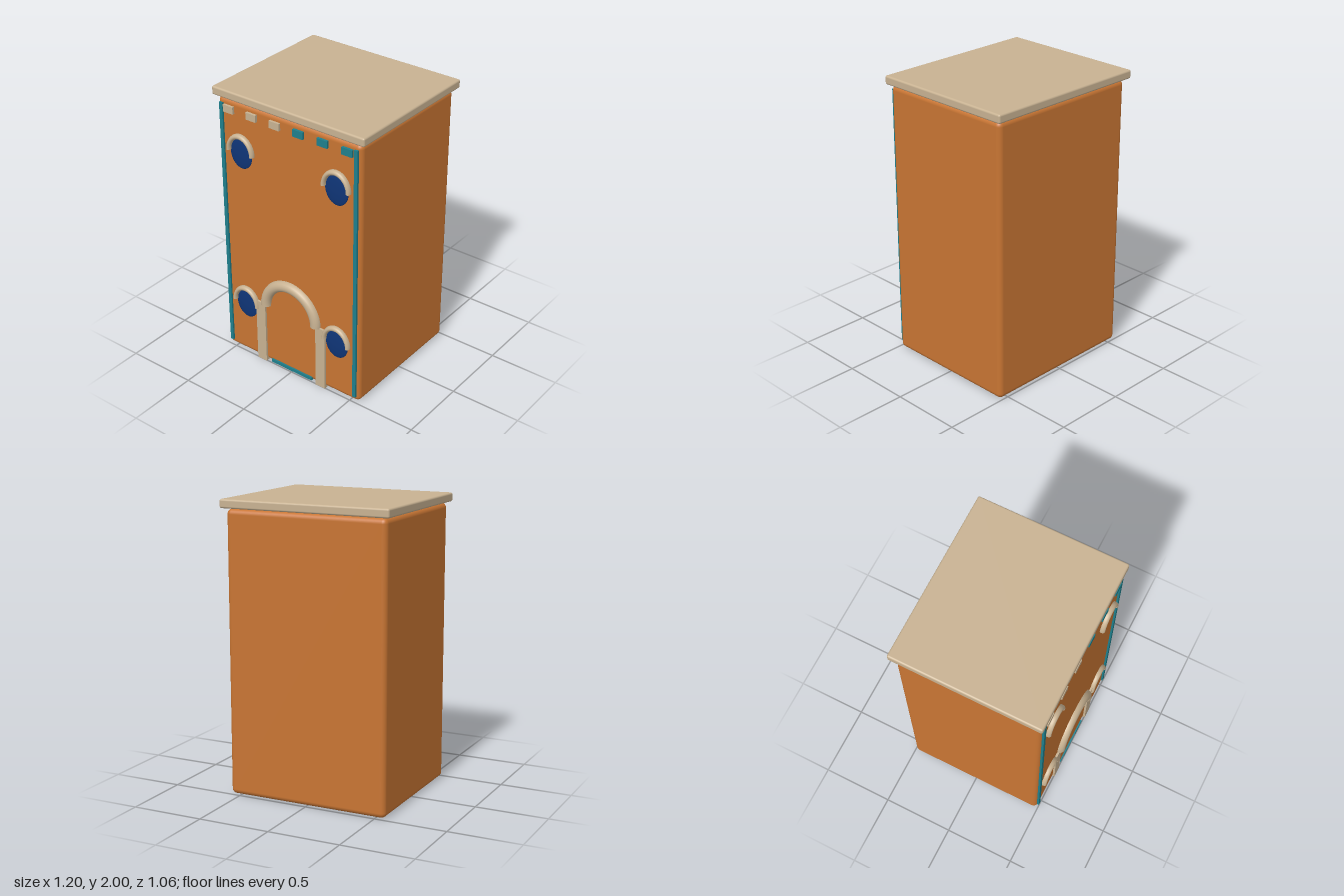
import * as THREE from 'three';
import { RoundedBoxGeometry } from 'three/addons/geometries/RoundedBoxGeometry.js';

export function createModel() {
  const model = new THREE.Group();
  model.name = 'towerHouse';

  const material = (name, color) => {
    const m = new THREE.MeshStandardMaterial({ color });
    m.name = name;
    return m;
  };
  const orange = material('orangeWall', 0xc87533);
  const stone = material('sandStone', 0xc8b292);
  const teal = material('tealTrim', 0x1f7f8c);
  const blue = material('blueGlass', 0x0f3577);

  const add = (name, geometry, mat, x, y, z) => {
    const mesh = new THREE.Mesh(geometry, mat);
    mesh.name = name;
    mesh.position.set(x, y, z);
    model.add(mesh);
    return mesh;
  };
  const box = (name, mat, w, h, d, x, y, z) =>
    add(name, new THREE.BoxGeometry(w, h, d), mat, x, y, z);

  // Half ring standing on its two ends, closed with discs
  const arch = (name, R, r, x, y, z, sy, sz) => {
    const ring = add(name, new THREE.TorusGeometry(R, r, 16, 32, Math.PI), stone, x, y, z);
    ring.scale.set(1, sy, sz);
    for (const s of [-1, 1]) {
      const cap = new THREE.Mesh(new THREE.CircleGeometry(r, 16), stone);
      cap.name = name + 'End';
      cap.rotation.x = Math.PI / 2;
      cap.position.x = s * R;
      ring.add(cap);
    }
  };

  // Main block and roof slab
  add('body', new RoundedBoxGeometry(1.14, 1.93, 0.99, 4, 0.035), orange, 0, 0.97, -0.005);
  add('roofSlab', new RoundedBoxGeometry(1.2, 0.06, 1.04, 3, 0.013), stone, 0, 1.97, -0.01);

  // Doorway
  arch('doorArch', 0.2125, 0.039, 0, 0.475, 0.491, 1.02, 1);
  box('doorStep', teal, 0.35, 0.024, 0.03, 0, 0.021, 0.485);

  for (const s of [-1, 1]) {
    box('doorPillar', stone, 0.078, 0.478, 0.03, s * 0.255, 0.239, 0.49);
    box('cornerStrip', teal, 0.026, 1.855, 0.025, s * 0.535, 0.972, 0.49);

    // Oval windows with hoods
    for (const y of [0.415, 1.58]) {
      const glass = add('window', new THREE.SphereGeometry(1, 32, 20), blue, s * 0.385, y, 0.49);
      glass.scale.set(0.091, 0.114, 0.012);
      arch('windowHood', 0.097, 0.0155, s * 0.385, y + 0.003, 0.498, 1.18, 1.5);
    }
  }

  // Row of tiles under the roof
  for (let i = 0; i < 6; i++) {
    box('friezeTile', i < 3 ? stone : teal, 0.08, 0.05, 0.025, -0.472 + i * 0.1885, 1.869, 0.495);
  }
  return model;
}
